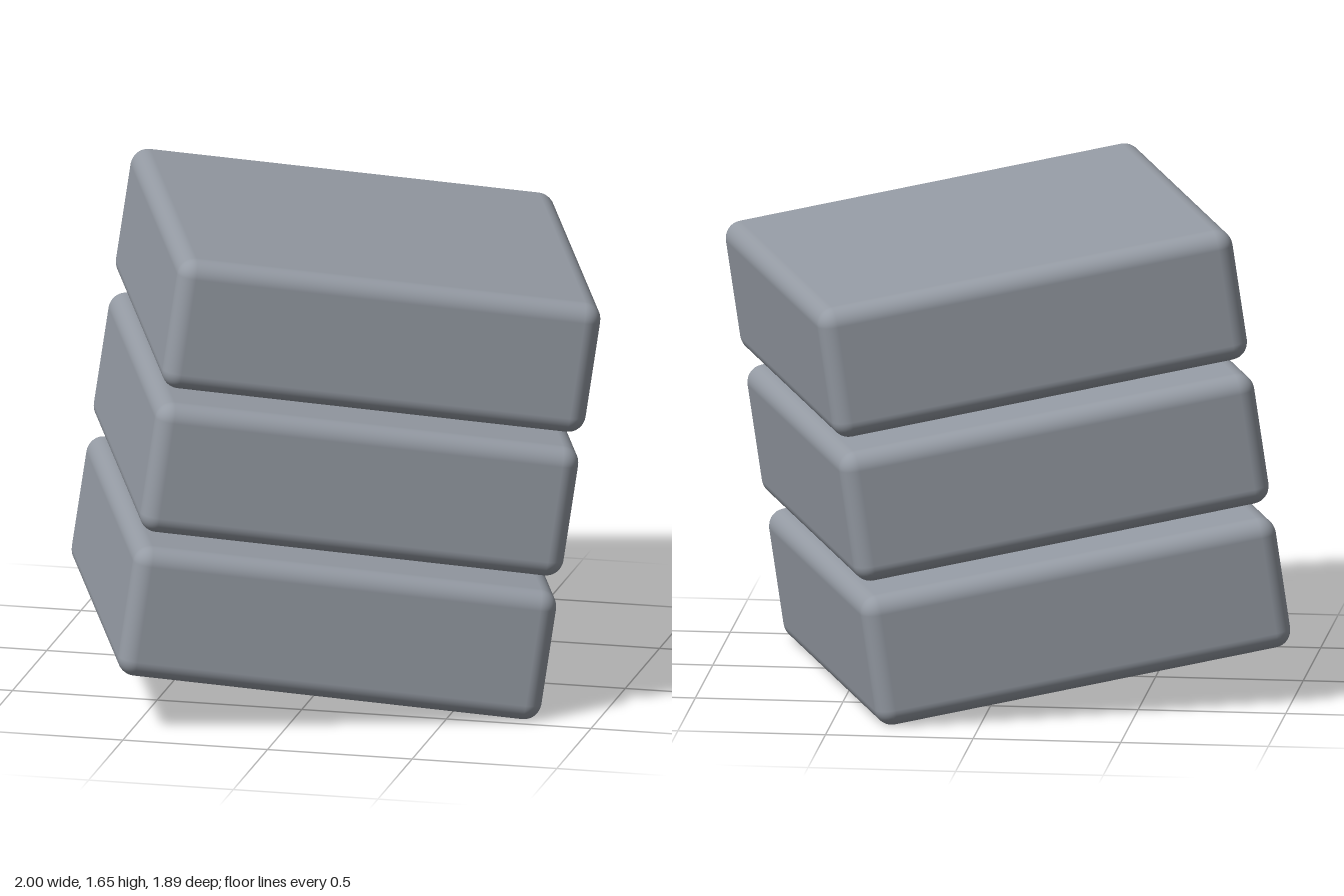
import * as THREE from 'three';
import { RoundedBoxGeometry } from 'three/addons/geometries/RoundedBoxGeometry.js';

export function createModel() {
  const model = new THREE.Group();
  model.name = 'slabStack';
  const grey = new THREE.MeshStandardMaterial({ color: 0x959ba4 });
  grey.name = 'slate grey';

  // Tilted stack: leans sideways, then turns about the vertical
  const stack = new THREE.Group();
  stack.name = 'tiltedStack';
  stack.rotation.set(0, THREE.MathUtils.degToRad(20), THREE.MathUtils.degToRad(-8.5), 'YXZ');
  stack.position.y = 0.825;

  // Three equal rounded slabs, evenly spaced
  const geometry = new RoundedBoxGeometry(1.45, 0.455, 1.45, 5, 0.06);
  const step = 0.506;
  ['lowerSlab', 'middleSlab', 'upperSlab'].forEach((name, i) => {
    const slab = new THREE.Mesh(geometry, grey);
    slab.name = name;
    slab.position.y = (i - 1) * step;
    stack.add(slab);
  });

  model.add(stack);
  return model;
}
